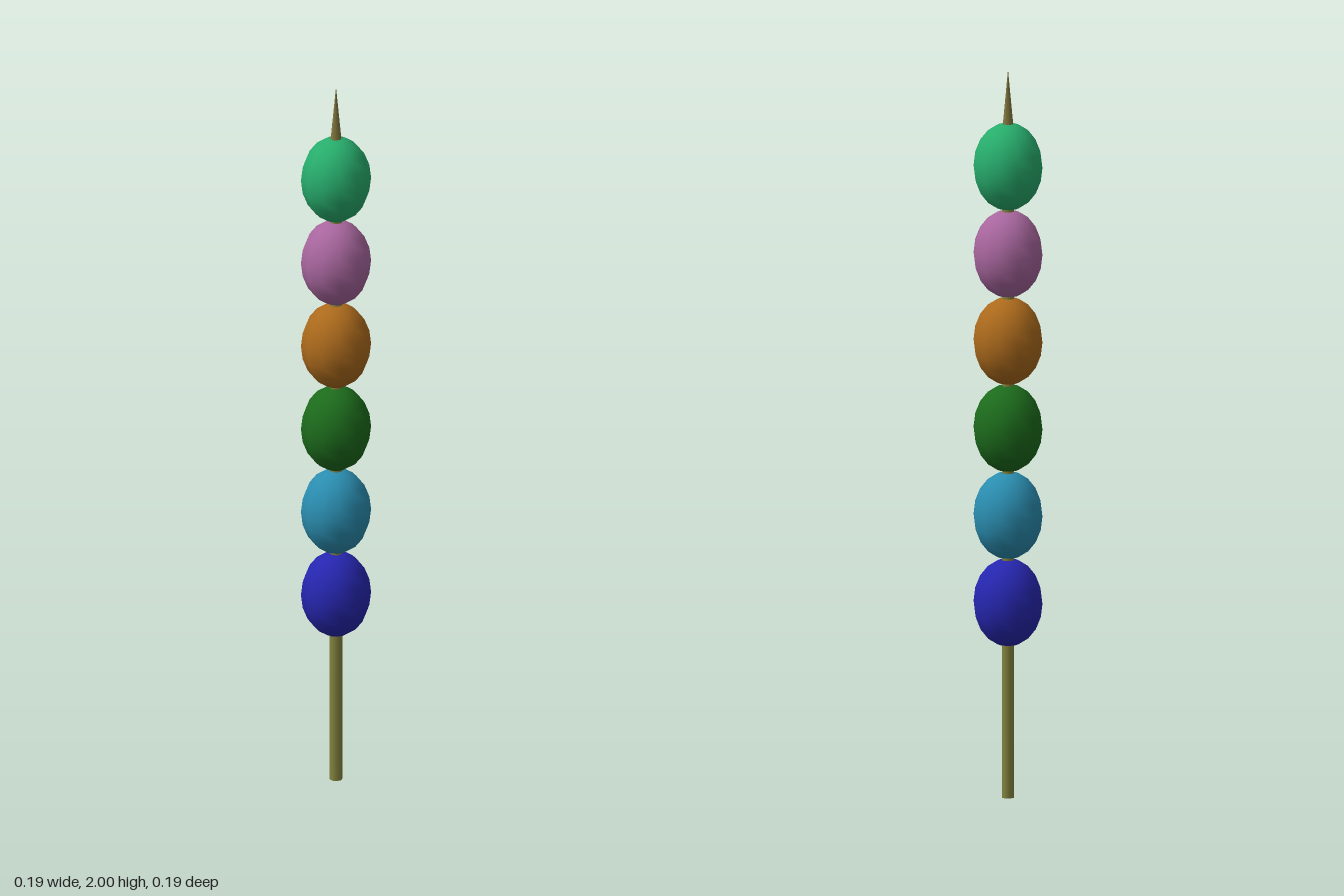
import * as THREE from 'three';

export function createModel() {
  const model = new THREE.Group();
  model.name = 'beadSkewer';

  const add = (name, geometry, color, y) => {
    const mesh = new THREE.Mesh(geometry, new THREE.MeshStandardMaterial({ color }));
    mesh.name = name;
    mesh.position.y = y;
    model.add(mesh);
  };

  // Stick through all beads, with a sharpened end
  const stickRadius = 0.0175, tipBase = 1.82;
  add('stick', new THREE.CylinderGeometry(stickRadius, stickRadius, tipBase, 8), 0x83833f, tipBase / 2);
  add('stickTip', new THREE.ConeGeometry(stickRadius, 2 - tipBase, 8), 0x83783f, (2 + tipBase) / 2);

  // Egg-shaped beads, bottom to top
  const bead = new THREE.SphereGeometry(0.095, 12, 10).scale(1, 1.26, 1);
  const colors = [0x2626b0, 0x2a8db0, 0x1c6b1c, 0xac6a1c, 0xa8669e, 0x27ad6c];
  colors.forEach((color, i) => add(`bead${i + 1}`, bead, color, 0.536 + i * 0.2395));

  return model;
}
